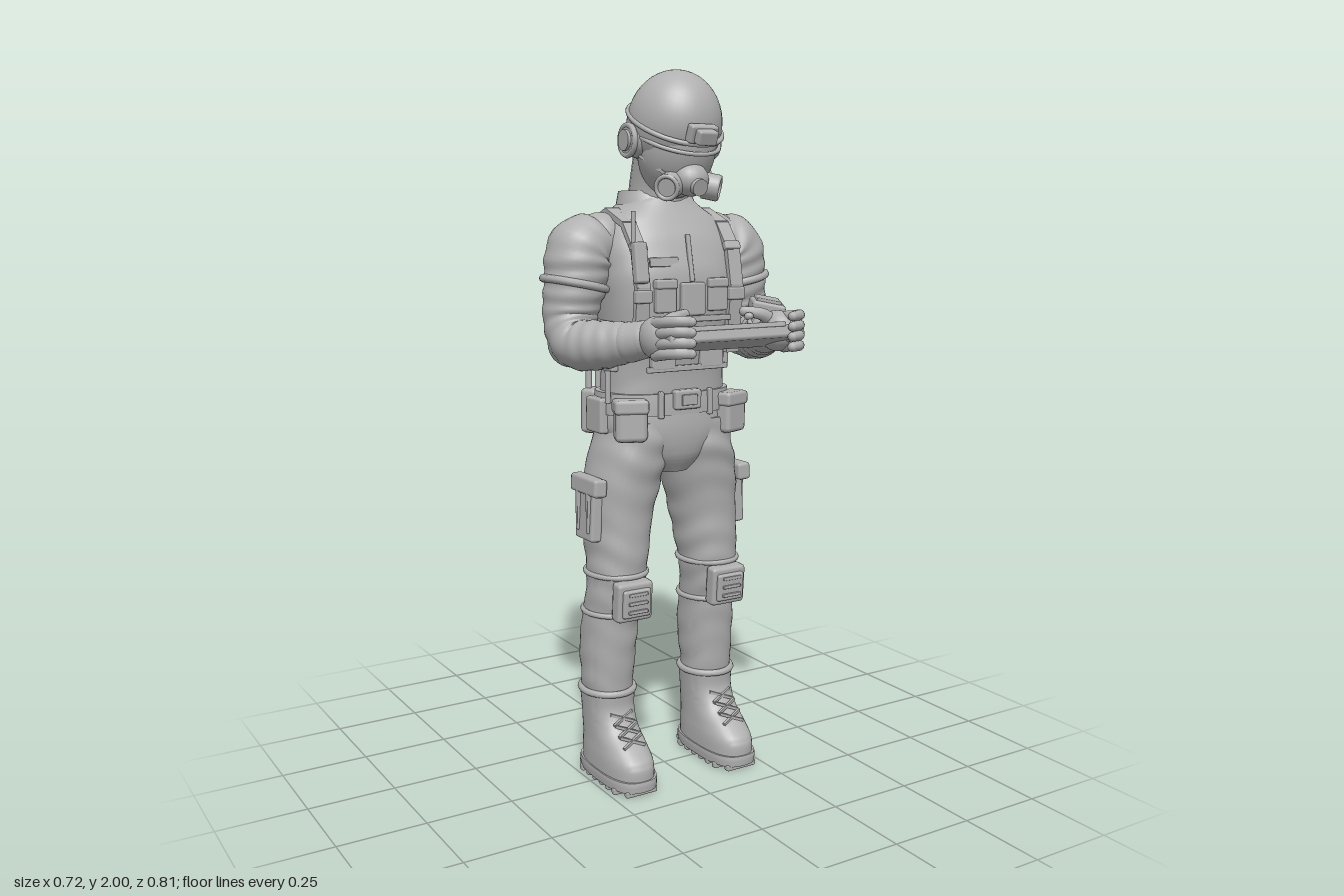
import * as THREE from 'three';
import { mergeVertices, toCreasedNormals } from 'three/addons/utils/BufferGeometryUtils.js';
import { RoundedBoxGeometry } from 'three/addons/geometries/RoundedBoxGeometry.js';

const grey = new THREE.MeshStandardMaterial({ color: 0xb0b0b0 });
grey.name = 'plain grey';
const V = (x, y, z) => new THREE.Vector3(x, y, z);

export function createModel() {
  const root = new THREE.Group();
  root.name = 'technician';

  const add = (name, geo, x = 0, y = 0, z = 0, rx = 0, ry = 0, rz = 0) => {
    const m = new THREE.Mesh(geo, grey);
    m.name = name;
    m.position.set(x, y, z);
    m.rotation.set(rx, ry, rz);
    root.add(m);
    return m;
  };
  const box = (name, w, h, d, x, y, z, rx, ry, rz) =>
    add(name, new RoundedBoxGeometry(w, h, d, 1, Math.min(w, h, d) * 0.25), x, y, z, rx, ry, rz);
  // ellipsoid, with fewer segments when small
  const ball = (name, a, b, c, x, y, z, rx) => {
    const n = a > 0.1 ? 36 : a > 0.03 ? 20 : 10;
    return add(name, new THREE.SphereGeometry(1, n, Math.round(n * 0.7)).scale(a, b, c), x, y, z, rx);
  };
  const disc = (name, r, h, x, y, z, rx, ry, rz, r2 = r) =>
    add(name, new THREE.CylinderGeometry(r2, r, h, 28), x, y, z, rx, ry, rz);
  // flat bar between two points
  const bar = (name, a, b, w, t) => {
    const m = add(name, new THREE.BoxGeometry(w, t, a.distanceTo(b) + t * 0.6));
    m.position.copy(a).add(b).multiplyScalar(0.5);
    m.lookAt(b);
    return m;
  };

  // stacked super-ellipse sections, rows of [y, cx, cz, rx, rz]; fold adds cloth ripples
  const loft = (name, rows, { power = 2.2, fold = 0, side = 1, steps = 28, seg = 36 } = {}) => {
    const mid = new THREE.CatmullRomCurve3(rows.map(r => V(r[1] * side, r[0], r[2])));
    const rad = new THREE.CatmullRomCurve3(rows.map(r => V(r[3], r[0], r[4])));
    const pos = [], idx = [], e = 2 / power;
    const f = v => Math.sign(v) * Math.abs(v) ** e;
    for (let j = 0; j <= steps; j++) {
      const c = mid.getPoint(j / steps), r = rad.getPoint(j / steps);
      for (let i = 0; i < seg; i++) {
        const a = (i / seg) * Math.PI * 2;
        const k = 1 + fold * Math.sin(c.y * 75 + 2 * Math.sin(a * 2 + side)) * (0.6 + 0.4 * Math.cos(a - c.y * 14));
        pos.push(c.x + f(Math.cos(a)) * r.x * k, c.y, c.z + f(Math.sin(a)) * r.z * k);
        if (j < steps) {
          const p = j * seg + i, q = j * seg + (i + 1) % seg;
          idx.push(p, p + seg, q, q, p + seg, q + seg);
        }
      }
    }
    const n = pos.length / 3, lo = rows[0], hi = rows[rows.length - 1], top = steps * seg;
    pos.push(lo[1] * side, lo[0], lo[2], hi[1] * side, hi[0], hi[2]);
    for (let i = 0; i < seg; i++) {
      const i2 = (i + 1) % seg;
      idx.push(n, i, i2, n + 1, top + i2, top + i);
    }
    const g = new THREE.BufferGeometry();
    g.setAttribute('position', new THREE.Float32BufferAttribute(pos, 3));
    g.setIndex(idx);
    return add(name, toCreasedNormals(g, 0.9));
  };

  // round tube with changing radius, points as [x, y, z, r]
  const limb = (name, pts, side = 1, fold = 0, n = 24, seg = 24) => {
    const curve = new THREE.CatmullRomCurve3(pts.map(p => V(p[0] * side, p[1], p[2])));
    const radii = new THREE.CatmullRomCurve3(pts.map((p, i) => V(i, p[3], 0)));
    let g = new THREE.TubeGeometry(curve, n, 1, seg);
    const p = g.attributes.position, v = V(0, 0, 0);
    for (let j = 0; j <= n; j++) {
      const t = curve.getUtoTmapping(j / n), c = curve.getPoint(t);
      const r = radii.getPoint(t).y;
      for (let i = 0; i <= seg; i++) {
        const k = j * (seg + 1) + i, a = (i / seg) * Math.PI * 2;
        v.fromBufferAttribute(p, k).sub(c).multiplyScalar(r * (1 + fold * Math.sin(j * 1.3 + 2 * Math.sin(a))));
        p.setXYZ(k, c.x + v.x, c.y + v.y, c.z + v.z);
      }
    }
    g.deleteAttribute('uv');
    g.deleteAttribute('normal');
    g = mergeVertices(g, 1e-5);
    g.computeVertexNormals();
    add(name, g);
    for (const q of [pts[0], pts[pts.length - 1]]) ball(name + 'End', q[3], q[3], q[3], q[0] * side, q[1], q[2]);
  };
  const ring = (name, rx, rz, t, x, y, z, tilt = 0) =>
    add(name, new THREE.TorusGeometry(1, t / rx, 8, 40).rotateX(Math.PI / 2).scale(rx, rx, rz), x, y, z, tilt);

  // torso, collar, neck and hips
  loft('torso', [[1.12, 0, -0.015, 0.182, 0.122], [1.2, 0, -0.01, 0.176, 0.124], [1.32, 0, 0, 0.188, 0.138], [1.45, 0, 0, 0.2, 0.142],
    [1.55, 0, -0.02, 0.195, 0.13], [1.6, 0, -0.03, 0.17, 0.113], [1.64, 0, -0.04, 0.115, 0.1], [1.66, 0, -0.04, 0.09, 0.09]], { power: 2.6, fold: 0.006, steps: 40 });
  loft('collar', [[1.59, 0, -0.04, 0.125, 0.115], [1.64, 0, -0.045, 0.112, 0.105], [1.68, 0, -0.055, 0.1, 0.092]], { steps: 8 });
  limb('neck', [[0, 1.6, -0.04, 0.088], [0, 1.7, -0.022, 0.085], [0, 1.79, 0.01, 0.088]]);
  loft('hips', [[0.9, 0, -0.01, 0.06, 0.085], [0.95, 0, -0.01, 0.13, 0.115], [1.02, 0, -0.01, 0.193, 0.127], [1.13, 0, -0.015, 0.185, 0.125]], { power: 2.3 });

  // head with helmet, tilted forward
  ball('face', 0.108, 0.14, 0.105, 0, 1.795, 0.065, 0.3);
  ball('helmet', 0.128, 0.145, 0.135, 0, 1.856, 0.052, 0.4);
  ring('helmetBand', 0.127, 0.142, 0.007, 0, 1.86, 0.055, 0.46);
  ring('helmetRim', 0.118, 0.135, 0.006, 0, 1.825, 0.055, 0.4);
  box('lampMount', 0.085, 0.05, 0.03, 0, 1.825, 0.19, 0.4);
  box('headLamp', 0.06, 0.04, 0.03, 0, 1.815, 0.21, 0.4);
  box('rearClip', 0.09, 0.025, 0.015, 0, 1.92, -0.075, 0.46);
  for (const s of [1, -1]) {
    disc('earCup', 0.047, 0.035, s * 0.122, 1.812, 0.03, 0, 0, -s * Math.PI / 2, 0.04);
    disc('earCap', 0.028, 0.012, s * 0.142, 1.812, 0.03, 0, 0, Math.PI / 2);
    add('earRing', new THREE.TorusGeometry(0.04, 0.008, 8, 28), s * 0.134, 1.812, 0.03, 0, Math.PI / 2);
    bar('maskStrap', V(s * 0.06, 1.71, 0.14), V(s * 0.105, 1.77, 0.05), 0.012, 0.008);
    const d = V(s * 0.75, -0.2, 0.62).normalize();
    const f = disc('maskFilter', 0.036, 0.04, s * 0.066, 1.69, 0.132);
    f.quaternion.setFromUnitVectors(V(0, 1, 0), d);
    const cap = add('filterRim', new THREE.TorusGeometry(0.03, 0.006, 8, 28), s * 0.066 + d.x * 0.021, 1.69 + d.y * 0.021, 0.132 + d.z * 0.021);
    cap.quaternion.setFromUnitVectors(V(0, 0, 1), d);
  }
  ball('mask', 0.05, 0.045, 0.045, 0, 1.708, 0.136);
  disc('maskValve', 0.023, 0.03, 0, 1.69, 0.17, Math.PI / 2 + 0.3);

  // vest harness, front pockets and webbing
  const strap = [[1.24, 0.115], [1.42, 0.134], [1.52, 0.115], [1.59, 0.06], [1.625, -0.03], [1.59, -0.12], [1.5, -0.155]];
  for (const s of [1, -1]) {
    for (let i = 0; i + 1 < strap.length; i++) {
      const [a, b] = [strap[i], strap[i + 1]];
      bar('shoulderStrap', V(s * 0.15, a[0], a[1]), V(s * 0.15, b[0], b[1]), 0.042, 0.016);
    }
    box('strapBuckle', 0.052, 0.035, 0.022, s * 0.15, 1.4, 0.137);
    box('strapBuckle', 0.05, 0.025, 0.02, s * 0.15, 1.53, 0.112, -0.5);
    box('chestPocket', 0.062, 0.08, 0.024, s * 0.083, 1.395, 0.14);
    box('pocketFlap', 0.066, 0.026, 0.03, s * 0.083, 1.432, 0.142);
    box('lowerPocket', 0.075, 0.075, 0.022, s * 0.078, 1.235, 0.119);
    box('sidePouch', 0.024, 0.14, 0.1, s * 0.182, 1.26, -0.01);
  }
  box('radio', 0.04, 0.11, 0.03, -0.158, 1.49, 0.135, -0.15);
  disc('radioAerial', 0.006, 0.09, -0.17, 1.58, 0.12);
  box('centrePocket', 0.075, 0.09, 0.026, 0, 1.39, 0.145);
  box('zip', 0.012, 0.13, 0.012, 0, 1.5, 0.133, -0.2);
  box('chestLabel', 0.09, 0.025, 0.008, -0.08, 1.49, 0.128, -0.15);
  for (const y of [1.2, 1.275, 1.335]) box('webbing', 0.26, 0.016, 0.014, 0, y, 0.122 + (y - 1.2) * 0.1);

  // belt with buckle, pouches and rear canister
  loft('belt', [[1.07, 0, -0.015, 0.2, 0.133], [1.1, 0, -0.015, 0.199, 0.133], [1.13, 0, -0.015, 0.196, 0.131]], { power: 2.5, steps: 4 });
  box('buckle', 0.085, 0.055, 0.03, 0, 1.112, 0.118);
  box('buckleInset', 0.05, 0.03, 0.008, 0, 1.112, 0.134);
  for (const s of [1, -1]) {
    box('beltPouch', 0.09, 0.105, 0.06, s * 0.163, 1.055, 0.09, 0, s * 0.35);
    box('pouchFlap', 0.096, 0.04, 0.068, s * 0.163, 1.1, 0.09, 0, s * 0.35);
    box('beltLoop', 0.015, 0.075, 0.015, s * 0.08, 1.1, 0.114);
    box('hipPouch', 0.035, 0.1, 0.09, s * 0.198, 1.065, -0.03);
  }
  disc('canister', 0.037, 0.15, 0.03, 1.08, -0.172, 0, 0, Math.PI / 2);
  for (const x of [-0.035, 0.03, 0.095]) disc('canisterBand', 0.041, 0.012, x, 1.08, -0.172, 0, 0, Math.PI / 2);
  box('toolPouch', 0.085, 0.13, 0.055, -0.145, 1.06, -0.145, 0, 0.5);
  for (const x of [-0.165, -0.135]) disc('toolHandle', 0.009, 0.09, x, 1.14, -0.145);
  disc('beltAerial', 0.008, 0.09, -0.2, 1.15, 0.03);

  // legs, knee pads, thigh pouches and boots
  for (const s of [1, -1]) {
    loft('leg', [[0.22, 0.17, -0.04, 0.066, 0.072], [0.3, 0.17, -0.04, 0.072, 0.08], [0.4, 0.167, -0.04, 0.077, 0.089], [0.5, 0.163, -0.025, 0.077, 0.084],
      [0.58, 0.157, -0.01, 0.079, 0.088], [0.68, 0.15, -0.015, 0.086, 0.1], [0.78, 0.142, -0.025, 0.094, 0.111], [0.88, 0.127, -0.022, 0.104, 0.12],
      [0.97, 0.108, -0.015, 0.1, 0.127], [1.05, 0.095, -0.01, 0.088, 0.118]], { fold: 0.026, side: s, steps: 76 });
    box('kneePad', 0.112, 0.115, 0.045, s * 0.157, 0.55, 0.085, 0.08);
    box('kneeShell', 0.088, 0.082, 0.03, s * 0.157, 0.548, 0.103, 0.08);
    for (const y of [0.525, 0.55, 0.575]) box('kneeRib', 0.06, 0.01, 0.012, s * 0.157, y, 0.118);
    ring('kneeStrap', 0.084, 0.094, 0.008, s * 0.155, 0.615, -0.011);
    ring('kneeStrap', 0.081, 0.088, 0.008, s * 0.162, 0.5, -0.024);
    box('thighPouch', 0.035, 0.15, 0.1, s * 0.237, 0.79, -0.015, 0, 0, s * 0.06);
    box('thighFlap', 0.042, 0.052, 0.15, s * 0.24, 0.872, -0.012, 0, 0, s * 0.06);
    for (const z of [-0.045, 0.015]) box('thighStrap', 0.012, 0.12, 0.014, s * 0.256, 0.8, z);

    loft('boot', [[0.035, 0.17, 0.02, 0.072, 0.15], [0.085, 0.17, 0.018, 0.071, 0.147], [0.12, 0.17, 0.001, 0.068, 0.127], [0.16, 0.17, -0.025, 0.067, 0.098],
      [0.21, 0.17, -0.038, 0.069, 0.082], [0.262, 0.17, -0.04, 0.073, 0.083]], { power: 2.5, side: s });
    loft('sole', [[0.014, 0.17, 0.02, 0.074, 0.153], [0.03, 0.17, 0.02, 0.076, 0.155], [0.045, 0.17, 0.02, 0.075, 0.153]], { power: 2.8, side: s, steps: 4 });
    for (let i = 0; i < 8; i++) box('tread', i % 7 ? 0.14 : 0.1, 0.02, 0.02, s * 0.17, 0.01, -0.115 + i * 0.038);
    ring('bootCuff', 0.074, 0.083, 0.01, s * 0.17, 0.262, -0.04);
    for (let i = 0; i < 4; i++) {
      const y = 0.13 + i * 0.025, z = 0.122 - i * 0.027;
      for (const d of [1, -1]) bar('lace', V(s * 0.17 - d * 0.032, y, z - 0.006), V(s * 0.17 + d * 0.032, y + 0.024, z - 0.026), 0.008, 0.008);
    }
  }

  // arms, gloves and fingers
  for (const s of [1, -1]) {
    limb('arm', [[0.185, 1.55, -0.035, 0.072], [0.24, 1.52, -0.035, 0.095], [0.265, 1.43, -0.032, 0.086], [0.282, 1.33, -0.03, 0.074],
      [0.284, 1.275, 0.012, 0.07], [0.255, 1.275, 0.1, 0.065], [0.205, 1.292, 0.2, 0.05]], s, 0.025, 60, 32);
    ball('elbow', 0.066, 0.068, 0.066, s * 0.284, 1.272, -0.02);
    const band = ring('sleeveBand', 0.088, 0.088, 0.011, s * 0.265, 1.43, -0.032);
    band.rotation.z = s * 0.2;
    limb('cuff', [[0.216, 1.288, 0.185, 0.054], [0.198, 1.296, 0.22, 0.05]], s, 0, 4);
    ball('glove', 0.044, 0.056, 0.062, s * 0.19, 1.305, 0.275);
    for (let i = 0; i < 4; i++) {
      const y = 1.262 + i * 0.027;
      limb('finger', [[0.203, y, 0.29, 0.016], [0.204, y + 0.008, 0.345, 0.015], [0.185, y + 0.012, 0.38, 0.0145], [0.158, y + 0.01, 0.388, 0.013]], s, 0, 12, 10);
    }
    limb('thumb', [[0.18, 1.33, 0.27, 0.02], [0.14, 1.352, 0.272, 0.017], [0.095, 1.36, 0.255, 0.014]], s, 0, 10, 10);
  }
  box('wristDevice', 0.095, 0.035, 0.1, 0.25, 1.358, 0.145, 0.1, -0.5, -0.15);
  box('wristScreen', 0.07, 0.012, 0.075, 0.252, 1.378, 0.146, 0.1, -0.5, -0.15);

  // hand-held control console, far edge raised
  const bodyParts = [...root.children];
  box('console', 0.42, 0.035, 0.15, 0, 0, 0);
  box('consoleScreen', 0.125, 0.01, 0.09, 0, 0.018, 0.005);
  box('consoleScreenInset', 0.108, 0.008, 0.073, 0, 0.021, 0.005);
  for (const z of [-0.07, 0.07]) box('consoleRail', 0.3, 0.014, 0.012, 0, 0.018, z);
  for (const s of [1, -1]) {
    disc('joystickBase', 0.033, 0.014, s * 0.095, 0.022, -0.01, 0, 0, 0, 0.026);
    disc('joystick', 0.007, 0.04, s * 0.095, 0.04, -0.01);
    ball('joystickKnob', 0.013, 0.011, 0.013, s * 0.095, 0.058, -0.01);
    box('grip', 0.03, 0.045, 0.14, s * 0.195, 0, 0);
  }
  const controls = new THREE.Group();
  controls.name = 'controlConsole';
  controls.add(...root.children.filter(m => !bodyParts.includes(m)));
  controls.position.set(0, 1.295, 0.303);
  controls.rotation.x = -0.28;
  root.add(controls);

  // backpack with frame, wrench and cable reel
  add('backpack', new RoundedBoxGeometry(0.315, 0.4, 0.18, 4, 0.035), 0, 1.405, -0.24);
  box('packBackPlate', 0.12, 0.3, 0.03, 0, 1.42, -0.155);
  box('packPanel', 0.25, 0.12, 0.02, 0, 1.51, -0.33);
  box('packLabel', 0.16, 0.03, 0.008, 0.01, 1.53, -0.341);
  limb('packHandle', [[-0.07, 1.6, -0.225, 0.009], [-0.06, 1.617, -0.225, 0.009], [0.06, 1.617, -0.225, 0.009], [0.07, 1.6, -0.225, 0.009]], 1, 0, 24, 10);
  for (const s of [1, -1]) {
    box('packSideRail', 0.018, 0.28, 0.045, s * 0.16, 1.41, -0.28);
    for (const y of [1.24, 1.56]) box('packCorner', 0.04, 0.05, 0.06, s * 0.147, y, -0.305);
    for (let i = 0; i < 4; i++) box('packVent', 0.01, 0.012, 0.06, s * 0.159, 1.3 + i * 0.03, -0.215);
  }
  box('wrenchHolster', 0.045, 0.23, 0.075, 0.183, 1.4, -0.24);
  for (const y of [1.33, 1.47]) box('holsterBand', 0.052, 0.025, 0.084, 0.183, y, -0.24);
  box('wrenchShaft', 0.02, 0.2, 0.024, 0.2, 1.55, -0.24);
  add('wrenchJaw', new THREE.TorusGeometry(0.024, 0.011, 8, 24, Math.PI * 1.45), 0.207, 1.658, -0.24, 0, 0, Math.PI * 0.75);

  const rx = -0.042, ry = 1.305;
  disc('reelDrum', 0.075, 0.06, rx, ry, -0.36, Math.PI / 2);
  for (let i = 0; i < 4; i++) add('cableTurn', new THREE.TorusGeometry(0.088, 0.008, 8, 40), rx, ry, -0.343 - i * 0.012);
  for (const z of [-0.335, -0.392]) {
    const rim = new THREE.Shape().absarc(0, 0, 0.109, 0, Math.PI * 2);
    rim.holes.push(new THREE.Path().absarc(0, 0, 0.088, 0, Math.PI * 2, true));
    add('reelFlange', new THREE.ExtrudeGeometry(rim, { depth: 0.008, bevelSize: 0.002, bevelThickness: 0.002, bevelSegments: 1, curveSegments: 24 }), rx, ry, z - 0.004);
  }
  for (let i = 0; i < 6; i++) {
    const a = i * Math.PI / 3 + 0.3;
    box('reelSpoke', 0.085, 0.016, 0.012, rx + Math.cos(a) * 0.055, ry + Math.sin(a) * 0.055, -0.393, 0, 0, a);
  }
  disc('reelHub', 0.026, 0.03, rx, ry, -0.39, Math.PI / 2);
  disc('reelAxle', 0.016, 0.02, rx, ry, -0.4, Math.PI / 2);
  return root;
}
